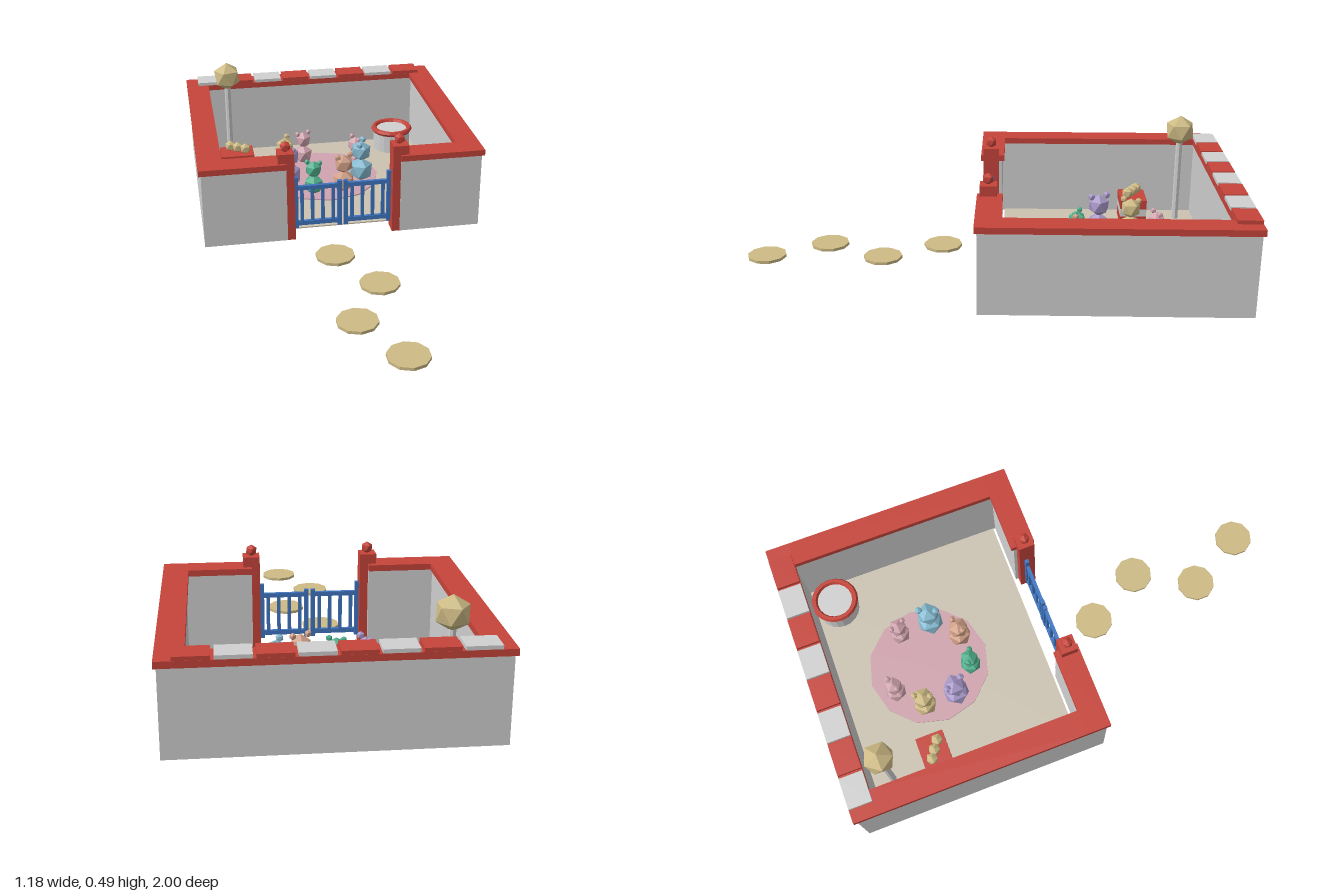
import * as THREE from 'three';

const mat = (name, color, flatShading = false) => {
  const m = new THREE.MeshStandardMaterial({ color });
  m.name = name;
  m.flatShading = flatShading;
  return m;
};

export function createModel() {
  const root = new THREE.Group();
  root.name = 'playYard';

  const red = mat('brick red', 0xc5443a, true);
  const grey = mat('pale grey', 0xd0d0d0, true);
  const blue = mat('gate blue', 0x4076c2, true);
  const sand = mat('sand', 0xcdba85, true);
  const ground = mat('floor beige', 0xcbc2b0, true);
  const pink = mat('dusty pink', 0xcfa3ae, true);
  const purple = mat('lavender', 0xa898c8, true);
  const sky = mat('light blue', 0x86bad0, true);
  const green = mat('mint green', 0x4fae8c, true);
  const peach = mat('peach', 0xcf9f86, true);

  const add = (parent, name, geo, material, x = 0, y = 0, z = 0) => {
    const m = new THREE.Mesh(geo, material);
    m.name = name;
    m.position.set(x, y, z);
    parent.add(m);
    return m;
  };
  // box given by its limits on each axis
  const box = (parent, name, material, x0, x1, y0, y1, z0, z1) =>
    add(parent, name, new THREE.BoxGeometry(x1 - x0, y1 - y0, z1 - z0), material,
      (x0 + x1) / 2, (y0 + y1) / 2, (z0 + z1) / 2);
  // twenty-sided ball standing on one of its corners
  const ball = (parent, name, material, r, x, y, z) => {
    const g = new THREE.IcosahedronGeometry(r, 0);
    g.rotateZ(Math.atan2(1, (1 + Math.sqrt(5)) / 2));
    return add(parent, name, g, material, x, y, z);
  };

  // floor and round rug
  box(root, 'floor', ground, -0.5, 0.5, 0.001, 0.006, -0.91, -0.06);
  add(root, 'rug', new THREE.CylinderGeometry(0.255, 0.255, 0.005, 12), pink, 0, 0.0085, -0.535);

  // walls with overhanging caps
  box(root, 'backWall', grey, -0.58, 0.58, 0, 0.325, -0.99, -0.91);
  box(root, 'backCap', red, -0.59, 0.59, 0.325, 0.35, -1, -0.905);
  for (const s of [-1, 1]) {
    const side = (name, m, a, b, ...rest) =>
      box(root, name, m, Math.min(s * a, s * b), Math.max(s * a, s * b), ...rest);
    side('sideWall', grey, 0.5, 0.58, 0, 0.325, -0.91, -0.05);
    side('sideCap', red, 0.49, 0.59, 0.325, 0.35, -0.905, -0.06);
    side('frontWall', grey, 0.237, 0.58, 0, 0.325, -0.05, 0.03);
    side('frontCap', red, 0.237, 0.59, 0.325, 0.35, -0.06, 0.04);

    // gate post with finial
    side('gatePost', red, 0.204, 0.27, 0, 0.39, -0.037, 0.029);
    ball(root, 'postFinial', red, 0.024, s * 0.236, 0.411, -0.004);

    // gate leaf
    const leaf = new THREE.Group();
    leaf.name = 'gateLeaf';
    root.add(leaf);
    const bar = (name, x, w, y0, y1, d = 0.016) =>
      box(leaf, name, blue, s * x - w / 2, s * x + w / 2, y0, y1, -0.009 - d / 2, -0.009 + d / 2);
    bar('hingeStile', 0.195, 0.016, 0.035, 0.268);
    bar('latchStile', 0.013, 0.018, 0.035, 0.24);
    bar('topRail', 0.104, 0.198, 0.21, 0.228, 0.014);
    bar('bottomRail', 0.104, 0.198, 0.047, 0.066, 0.014);
    for (let i = 0; i < 4; i++) bar('picket', 0.04 + i * 0.0435, 0.014, 0.06, 0.215, 0.01);
  }

  // alternating tiles along the back wall
  for (let i = 0; i < 8; i++) {
    const x = -0.475 + 0.135 * i;
    box(root, 'capTile', i % 2 ? red : grey, x - 0.062, x + 0.062, 0.35, 0.364, -0.999, -0.906);
  }

  // stepping stones
  for (let i = 0; i < 4; i++) {
    add(root, 'steppingStone', new THREE.CylinderGeometry(0.08, 0.08, 0.012, 10), sand,
      i % 2 ? 0.067 : -0.067, 0.006, 0.196 + 0.2413 * i);
  }

  // corner lamp
  add(root, 'lampPole', new THREE.CylinderGeometry(0.014, 0.014, 0.365, 8), grey, -0.405, 0.1875, -0.83);
  ball(root, 'lampGlobe', sand, 0.066, -0.405, 0.419, -0.83);

  // round tub with a red rim
  add(root, 'tub', new THREE.CylinderGeometry(0.088, 0.088, 0.1, 20), grey, 0.387, 0.055, -0.815);
  const rim = new THREE.TorusGeometry(0.086, 0.013, 6, 20);
  rim.rotateX(Math.PI / 2);
  add(root, 'tubRim', rim, red, 0.387, 0.105, -0.815);

  // toy chest with a pale band and three balls on top
  box(root, 'chestBase', red, -0.463, -0.312, 0, 0.045, -0.69, -0.575);
  box(root, 'chestBand', grey, -0.463, -0.312, 0.045, 0.08, -0.69, -0.575);
  box(root, 'chestLid', red, -0.463, -0.312, 0.08, 0.12, -0.69, -0.575);
  ball(root, 'toyBall', sand, 0.026, -0.416, 0.143, -0.65);
  ball(root, 'toyBall', sand, 0.026, -0.384, 0.143, -0.63);
  ball(root, 'toyBall', sand, 0.026, -0.35, 0.143, -0.608);

  // toy bears in a ring, all facing its centre
  const bears = [
    [0, sky, 1.15], [1, peach, 1.05], [2, green, 0.93], [3, purple, 1.15],
    [4, sand, 1.05], [5, pink, 0.93], [7, pink, 0.93],
  ];
  for (const [k, m, scale] of bears) {
    const a = (k + 0.5) * Math.PI / 4;
    const bear = new THREE.Group();
    bear.name = 'toyBear';
    ball(bear, 'body', m, 0.05, 0, 0.05, 0);
    ball(bear, 'head', m, 0.042, 0, 0.13, 0);
    for (const s of [-1, 1]) ball(bear, 'ear', m, 0.014, s * 0.031, 0.166, 0);
    bear.scale.setScalar(scale);
    bear.position.set(Math.cos(a) * 0.18, 0.004, -0.535 + Math.sin(a) * 0.18);
    bear.rotation.y = -Math.PI / 2 - a;
    root.add(bear);
  }

  return root;
}
